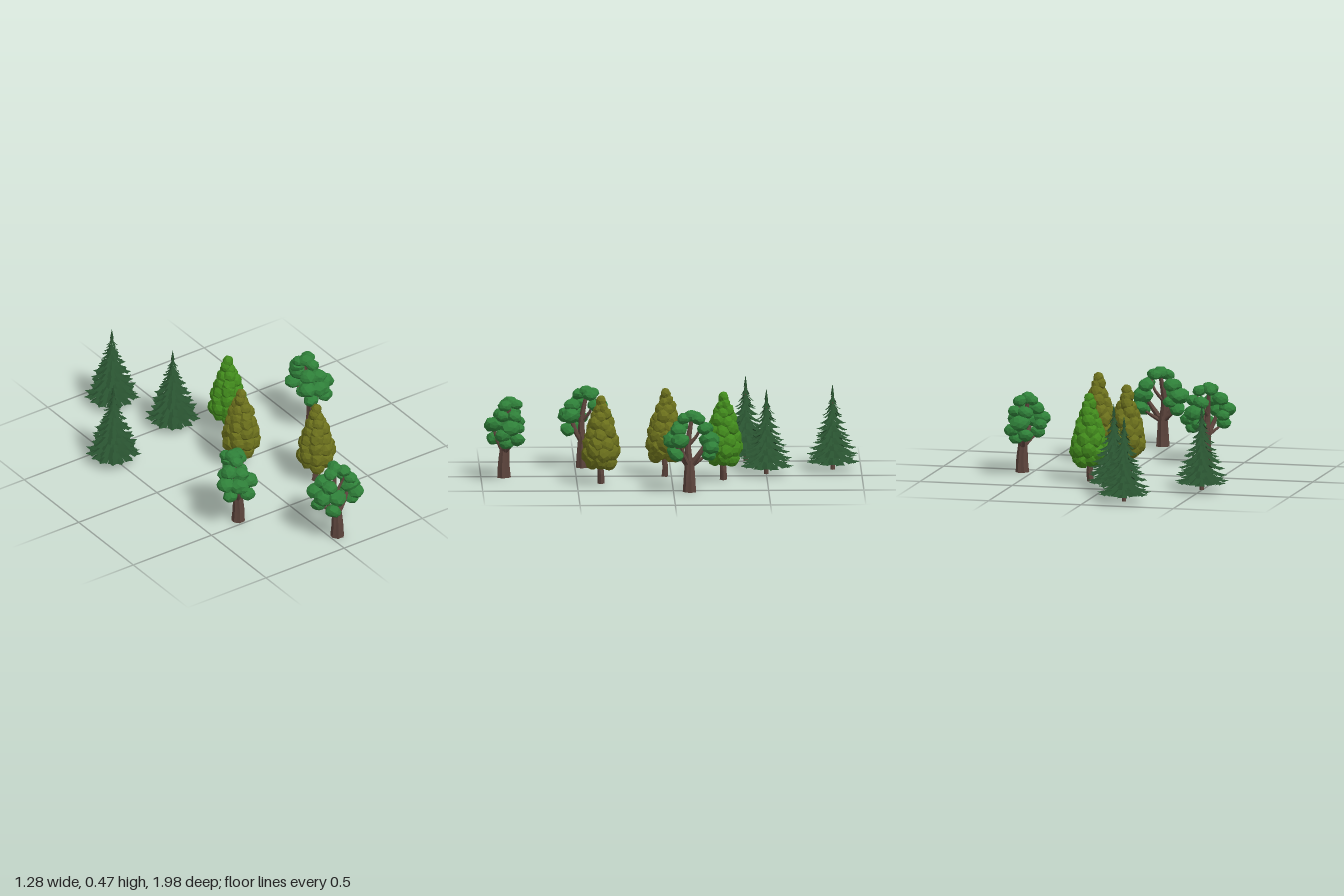
import * as THREE from 'three';
import { mergeGeometries } from 'three/addons/utils/BufferGeometryUtils.js';

const V = (x, y, z) => new THREE.Vector3(x, y, z);
const paint = (color) => new THREE.MeshStandardMaterial({ color, flatShading: true, side: THREE.DoubleSide });
const bark = paint(0x5c443c), firGreen = paint(0x28512f), oakGreen = paint(0x2f8039);
const olive = paint(0x6b701c), lime = paint(0x418a1c);

// Joins pieces into one named mesh; texture coordinates are dropped so all pieces match
function part(name, geometries, material) {
  geometries.forEach((geo) => geo.deleteAttribute('uv'));
  const mesh = new THREE.Mesh(mergeGeometries(geometries), material);
  mesh.name = name;
  return mesh;
}

// Tapered limb along a curve, with ridged bark
function limb(points, r0, r1, sides = 8, ridge = 0.86) {
  const curve = new THREE.CatmullRomCurve3(points.map((p) => V(...p)));
  const steps = 6;
  const geo = new THREE.TubeGeometry(curve, steps, 1, sides, false);
  const pos = geo.attributes.position, v = V(0, 0, 0);
  for (let i = 0; i <= steps; i++) {
    const c = curve.getPointAt(i / steps);
    for (let j = 0; j <= sides; j++) {
      const k = i * (sides + 1) + j;
      const r = THREE.MathUtils.lerp(r0, r1, i / steps) * (j % 2 ? ridge : 1);
      v.fromBufferAttribute(pos, k).sub(c).multiplyScalar(r).add(c);
      pos.setXYZ(k, v.x, v.y, v.z);
    }
  }
  return geo;
}

function foot(r) {
  return new THREE.CircleGeometry(r, 12).rotateX(Math.PI / 2).translate(0, 0.001, 0);
}

// Faceted, slightly uneven leaf clump
function clump(x, y, z, r, stretch, seed) {
  const geo = new THREE.IcosahedronGeometry(1, 1);
  const pos = geo.attributes.position;
  for (let i = 0; i < pos.count; i++) {
    const a = pos.getX(i), b = pos.getY(i), c = pos.getZ(i);
    const k = r * (1 + 0.1 * Math.sin(a * 5 + seed * 2.1) * Math.cos(b * 4 + c * 5 + seed));
    pos.setXYZ(i, a * k, b * k * stretch, c * k);
  }
  geo.rotateZ(0.25 * Math.sin(seed * 3.7));
  geo.rotateY(seed * 1.9);
  return geo.translate(x, y, z);
}

// One drooping fir bough: folded blade with a toothed edge
function bough(length, droop, width) {
  const profile = [[0, 0.3], [0.3, 0.75], [0.34, 0.55], [0.58, 1], [0.62, 0.68], [0.8, 0.8], [0.83, 0.5], [1, 0]];
  const p = [], index = [];
  profile.forEach(([t, w], i) => {
    const y = -droop * (1.35 * t - 0.35 * t * t * t), half = width * w / 2;
    p.push(length * t, y, 0, length * t, y - half * 0.5, half, length * t, y - half * 0.5, -half);
    if (i) {
      const a = (i - 1) * 3, b = i * 3;
      index.push(a, a + 1, b, a + 1, b + 1, b, a, b, a + 2, a + 2, b, b + 2);
    }
  });
  const geo = new THREE.BufferGeometry();
  geo.setAttribute('position', new THREE.Float32BufferAttribute(p, 3));
  geo.setIndex(index);
  geo.computeVertexNormals();
  return geo;
}

function createFir() {
  const tree = new THREE.Group();
  const boughs = [], tiers = 11;
  for (let i = 0; i < tiers; i++) {
    const t = i / (tiers - 1);
    const radius = 0.143 * Math.pow(1 - t, 0.9) + 0.012;
    const count = Math.round(14 - 8 * t);
    const droop = 0.055 - 0.012 * t;
    for (let j = 0; j < count; j++) {
      const wobble = Math.sin(i * 7 + j * 4.3);
      const geo = bough(radius * (0.93 + 0.06 * wobble), droop, radius * (0.42 + 0.1 * t));
      geo.rotateY((j + (i % 2) * 0.5) / count * Math.PI * 2 + 0.06 * wobble);
      boughs.push(geo.translate(0, 0.1 + 0.325 * t + 0.005 * wobble, 0));
    }
  }
  boughs.push(new THREE.ConeGeometry(0.01, 0.06, 5).translate(0, 0.425, 0));
  tree.add(part('firBoughs', boughs, firGreen));
  tree.add(part('firTrunk', [limb([[0, 0, 0], [0, 0.2, 0], [0, 0.42, 0]], 0.012, 0.004), foot(0.012)], bark));
  return tree;
}

function createPoplar(leaf) {
  const tree = new THREE.Group();
  // Rings of clumps: height, ring radius, count, clump radius
  const rings = [
    [0.128, 0.05, 6, 0.041], [0.17, 0.063, 8, 0.043], [0.22, 0.056, 7, 0.043], [0.267, 0.046, 6, 0.041],
    [0.312, 0.037, 5, 0.037], [0.355, 0.024, 4, 0.033], [0.4, 0.012, 3, 0.029], [0.437, 0, 1, 0.027],
  ];
  const clumps = [];
  rings.forEach(([y, ring, count, r], i) => {
    for (let j = 0; j < count; j++) {
      const a = (j + (i % 2) * 0.5) / count * Math.PI * 2 + i * 0.2;
      const s = i * 9 + j, dy = i < 7 ? 0.012 * Math.sin(s * 2.3) : 0;
      clumps.push(clump(ring * Math.cos(a) + 0.008, y + dy, ring * Math.sin(a), r, 1.15, s));
    }
  });
  tree.add(part('poplarCrown', clumps, leaf));
  const stem = limb([[0, 0, 0], [0.006, 0.05, 0], [0, 0.1, 0.004], [0.006, 0.3, 0]], 0.019, 0.008);
  tree.add(part('poplarTrunk', [stem, foot(0.018)], bark));
  return tree;
}

function createOak() {
  const tree = new THREE.Group();
  // Leaf clumps: x, y, z, radius
  const leaves = [
    [-0.03, 0.398, -0.01, 0.04], [-0.06, 0.39, -0.035, 0.033], [0.005, 0.385, -0.045, 0.037], [-0.02, 0.385, 0.03, 0.036],
    [-0.085, 0.28, 0.08, 0.047], [-0.015, 0.27, 0.09, 0.053], [0.045, 0.275, 0.05, 0.049], [-0.06, 0.335, 0.05, 0.044],
    [-0.06, 0.205, 0.08, 0.04], [0.035, 0.2, 0.07, 0.042], [0, 0.325, 0.06, 0.044], [-0.085, 0.25, 0.04, 0.037],
    [-0.01, 0.275, -0.105, 0.055], [0.03, 0.24, -0.11, 0.043], [-0.045, 0.215, -0.115, 0.041],
    [-0.035, 0.33, -0.085, 0.042], [0.025, 0.335, -0.075, 0.037], [0.01, 0.195, -0.1, 0.038],
  ];
  tree.add(part('oakLeaves', leaves.map(([x, y, z, r], i) => clump(x, y, z, r, 0.8, i)), oakGreen));
  tree.add(part('oakTrunk', [
    limb([[0, 0, 0], [0.002, 0.06, 0], [0, 0.11, 0], [-0.004, 0.165, 0]], 0.037, 0.025, 14),
    foot(0.036),
  ], bark));
  // Forked branches rising into the clumps
  const fork = [-0.002, 0.13, 0];
  const branches = [
    [fork, [-0.008, 0.24, 0.01], [-0.03, 0.38, -0.01], 0.022],
    [fork, [-0.012, 0.19, 0.045], [-0.03, 0.28, 0.08], 0.018],
    [fork, [0.004, 0.2, -0.05], [-0.005, 0.28, -0.1], 0.018],
    [fork, [0.025, 0.19, 0.03], [0.045, 0.26, 0.05], 0.015],
    [fork, [-0.035, 0.17, 0.04], [-0.06, 0.2, 0.075], 0.012],
    [fork, [-0.02, 0.17, -0.06], [-0.04, 0.21, -0.11], 0.012],
    [[-0.01, 0.24, 0.01], [-0.012, 0.3, -0.04], [0.01, 0.36, -0.06], 0.011],
  ];
  tree.add(part('oakBranches', branches.map(([a, b, c, r]) => limb([a, b, c], r, r * 0.45)), bark));
  return tree;
}

export function createModel() {
  const grove = new THREE.Group();
  grove.name = 'grove';
  const plant = (name, tree, x, z, turn = 0) => {
    tree.name = name;
    tree.position.set(x, 0, z);
    tree.rotation.y = turn;
    grove.add(tree);
  };
  [[-0.195, -0.85], [-0.05, -0.5], [-0.5, -0.4]].forEach(([x, z], i) => plant('fir' + (i + 1), createFir(), x, z));
  plant('limePoplar', createPoplar(lime), 0.135, -0.27);
  plant('olivePoplar1', createPoplar(olive), 0.01, 0.035, 0.5);
  plant('olivePoplar2', createPoplar(olive), 0.25, 0.375);
  plant('oak1', createOak(), 0.55, -0.085);
  plant('oak2', createOak(), -0.3, 0.46, -0.4);
  plant('oak3', createOak(), 0.04, 0.88, -1.36);
  return grove;
}
